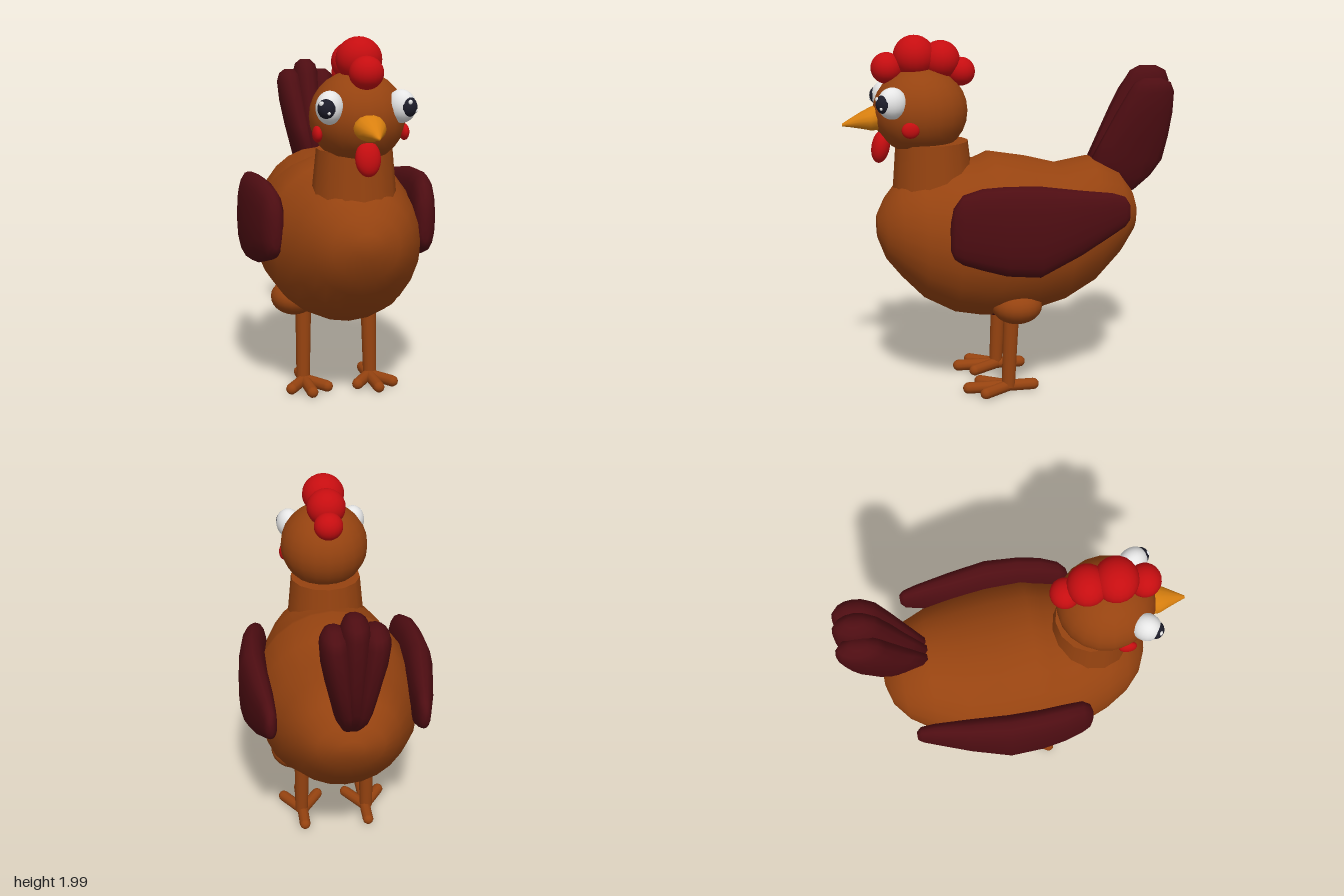
import * as THREE from 'three';

const mat = (name, color) => {
  const m = new THREE.MeshStandardMaterial({ color });
  m.name = name;
  return m;
};

// Closed skin over cross-sections [z, low, high, centreX, halfWidth], z ascending.
// power < 1 makes the sections boxier than an ellipse.
function loft(stations, sides = 20, power = 1) {
  const pos = [], idx = [];
  const bend = (v) => Math.sign(v) * Math.abs(v) ** power;
  for (const [z, lo, hi, cx, hw] of stations) {
    for (let j = 0; j < sides; j++) {
      const a = (j / sides) * Math.PI * 2;
      pos.push(cx + hw * bend(Math.cos(a)), (lo + hi) / 2 + ((hi - lo) / 2) * bend(Math.sin(a)), z);
    }
  }
  const last = stations.length - 1;
  for (let i = 0; i < last; i++) {
    for (let j = 0; j < sides; j++) {
      const k = (j + 1) % sides;
      const a = i * sides + j, b = i * sides + k, c = a + sides, d = b + sides;
      idx.push(a, b, c, b, d, c);
    }
  }
  for (const i of [0, last]) {
    const [z, lo, hi, cx] = stations[i];
    const centre = pos.length / 3;
    pos.push(cx, (lo + hi) / 2, z);
    for (let j = 0; j < sides; j++) {
      const a = i * sides + j, b = i * sides + ((j + 1) % sides);
      if (i === 0) idx.push(centre, b, a);
      else idx.push(centre, a, b);
    }
  }
  const g = new THREE.BufferGeometry();
  g.setAttribute('position', new THREE.Float32BufferAttribute(pos, 3));
  g.setIndex(idx);
  g.computeVertexNormals();
  return g;
}

export function createModel() {
  const root = new THREE.Group();
  root.name = 'hen';
  const brown = mat('brown feathers', 0x964310);
  const maroon = mat('dark wing feathers', 0x4e0d12);
  const red = mat('red comb', 0xc60d10);
  const orange = mat('orange beak', 0xd9800f);
  const white = mat('eye white', 0xe6e6e6);
  const black = mat('pupil', 0x1d1d2a);

  const add = (name, geo, material, parent = root) => {
    const m = new THREE.Mesh(geo, material);
    m.name = name;
    parent.add(m);
    return m;
  };
  const ball = (name, material, p, r, parent = root) => {
    const m = add(name, new THREE.SphereGeometry(1, 20, 14), material, parent);
    m.position.set(...p);
    m.scale.set(...r);
    return m;
  };
  // Tapered round limb between two points
  const limb = (name, material, a, b, ra, rb) => {
    const A = new THREE.Vector3(...a), B = new THREE.Vector3(...b);
    const dir = B.clone().sub(A);
    const m = add(name, new THREE.CylinderGeometry(rb, ra, dir.length(), 14), material);
    m.position.copy(A).add(B).multiplyScalar(0.5);
    m.quaternion.setFromUnitVectors(new THREE.Vector3(0, 1, 0), dir.normalize());
    return m;
  };

  // Body
  add('body', loft([
    [-0.725, 0.95, 1.05, 0, 0.07],
    [-0.69, 0.86, 1.13, 0, 0.18],
    [-0.61, 0.74, 1.24, 0, 0.27],
    [-0.46, 0.585, 1.31, 0, 0.35],
    [-0.28, 0.49, 1.275, 0, 0.42],
    [-0.1, 0.44, 1.32, 0, 0.445],
    [0.11, 0.425, 1.355, 0, 0.445],
    [0.19, 0.43, 1.32, 0, 0.435],
    [0.33, 0.455, 1.3, 0, 0.405],
    [0.5, 0.545, 1.27, 0, 0.34],
    [0.62, 0.67, 1.21, 0, 0.27],
    [0.7, 0.77, 1.11, 0, 0.18],
    [0.745, 0.89, 1.02, 0, 0.07],
  ], 24), brown);
  ball('bellyPatch', maroon, [0, 0.475, 0.05], [0.19, 0.055, 0.15]);

  // Neck and head
  limb('neck', brown, [0, 1.16, 0.43], [0, 1.42, 0.435], 0.225, 0.2);
  ball('head', brown, [0, 1.59, 0.495], [0.25, 0.24, 0.26]);

  // Comb lobes: y, z, radius
  for (const [y, z, r] of [[1.825, 0.675, 0.085], [1.885, 0.525, 0.115], [1.865, 0.38, 0.105], [1.8, 0.27, 0.078]]) {
    ball('combLobe', red, [0, y, z], [r * 1.04, r, r]);
  }
  ball('wattle', red, [0, 1.4, 0.715], [0.066, 0.092, 0.05]).rotation.x = -0.2;

  // Beak
  add('beak', loft([
    [0.68, 1.49, 1.65, 0, 0.085],
    [0.77, 1.49, 1.615, 0, 0.08],
    [0.82, 1.5, 1.59, 0, 0.055],
    [0.88, 1.51, 1.555, 0, 0.026],
    [0.92, 1.515, 1.53, 0, 0.007],
  ], 14), orange);

  // Tail feathers, built along z and stood upright
  for (const s of [-1, 0, 1]) {
    const drop = s ? 0.06 : 0;
    const feather = [
      [1.11, 0.64, 0.72, 0.02, 0.03],
      [1.2, 0.53, 0.81, 0.035, 0.055],
      [1.3, 0.45, 0.875, 0.045, 0.065],
      [1.45, 0.52, 0.9, 0.065, 0.075],
      [1.6, 0.59, 0.915, 0.085, 0.08],
      [1.73, 0.655, 0.915, 0.1, 0.075],
      [1.785, 0.69, 0.895, 0.1, 0.06],
      [1.812, 0.74, 0.84, 0.1, 0.03],
    ].map(([y, lo, hi, cx, hw]) => [y - drop * (y - 1.11) / 0.7, lo, hi, cx * s, hw]);
    add('tailFeather', loft(feather, 14).rotateX(-Math.PI / 2), maroon);
  }

  for (const s of [-1, 1]) {
    // Wing: z, bottom, top, inner x, outer x
    const wing = [
      [-0.58, 1.02, 1.11, 0.39, 0.425],
      [-0.555, 0.985, 1.15, 0.37, 0.44],
      [-0.48, 0.94, 1.175, 0.365, 0.46],
      [-0.3, 0.84, 1.2, 0.365, 0.505],
      [-0.08, 0.74, 1.235, 0.375, 0.545],
      [0.1, 0.755, 1.24, 0.375, 0.535],
      [0.23, 0.79, 1.23, 0.365, 0.515],
      [0.33, 0.82, 1.195, 0.355, 0.485],
      [0.375, 0.85, 1.13, 0.365, 0.46],
      [0.392, 0.89, 1.05, 0.39, 0.43],
    ].map(([z, lo, hi, a, b]) => [z, lo, hi, (s * (a + b)) / 2, (b - a) / 2]);
    add('wing', loft(wing, 16, 0.85), maroon);

    // Eye, turned outwards
    const eye = new THREE.Group();
    eye.name = 'eye';
    eye.position.set(s * 0.185, 1.655, 0.665);
    eye.rotation.y = s * 0.5;
    root.add(eye);
    ball('eyeWhite', white, [0, 0, 0], [0.07, 0.085, 0.082], eye);
    ball('pupil', black, [0, 0, 0.042], [0.05, 0.055, 0.053], eye);
    for (const [x, y, r] of [[-0.018, 0.026, 0.013], [0.02, -0.02, 0.009]]) {
      ball('eyeGlint', white, [x, y, 0.083], [r, r, 0.008], eye);
    }
    ball('earlobe', red, [s * 0.228, 1.515, 0.575], [0.025, 0.043, 0.048]);

    // Leg and foot
    ball('thigh', brown, [s * 0.24, 0.525, 0.005], [0.13, 0.1, 0.14]);
    limb('leg', brown, [s * 0.197, 0.04, 0.045], [s * 0.19, 0.5, 0.025], 0.038, 0.045);
    for (const [angle, length] of [[0, 0.23], [-0.6, 0.18], [0.6, 0.18], [Math.PI, 0.14]]) {
      const toe = add('toe', new THREE.CapsuleGeometry(0.032, length, 4, 10).rotateX(Math.PI / 2).translate(0, 0, length / 2), brown);
      toe.position.set(s * 0.19, 0.042, 0.04);
      toe.rotation.y = angle;
    }
  }
  root.position.y = -0.01;

  const model = new THREE.Group();
  model.name = 'model';
  model.add(root);
  return model;
}
